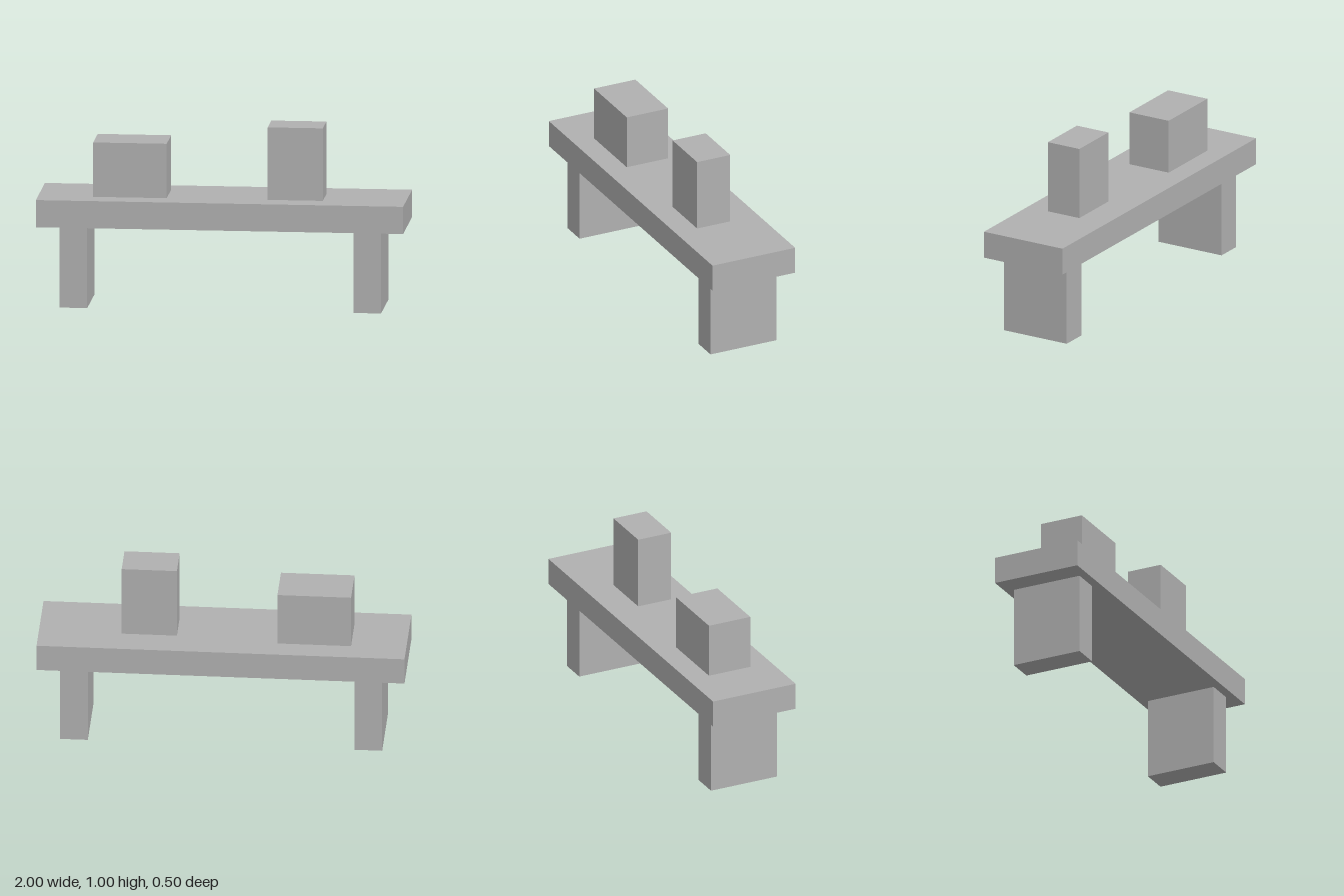
import * as THREE from 'three';

export function createModel() {
  const group = new THREE.Group();
  const grey = new THREE.MeshStandardMaterial({ color: 0xb0b0b0 });
  grey.name = 'plain grey';

  // Box resting with its underside at height y
  function block(name, width, height, depth, x, y, z = 0) {
    const mesh = new THREE.Mesh(new THREE.BoxGeometry(width, height, depth), grey);
    mesh.name = name;
    mesh.position.set(x, y + height / 2, z);
    group.add(mesh);
  }

  // Bench: slab on two panel legs
  block('benchTop', 2, 0.15, 0.5, 0, 0.45);
  block('leftLeg', 0.15, 0.45, 0.4, 0.8, 0);
  block('rightLeg', 0.15, 0.45, 0.4, -0.8, 0);

  // Blocks standing on the bench
  block('wideBlock', 0.4, 0.3, 0.25, -0.5, 0.6);
  block('tallBlock', 0.3, 0.4, 0.2, 0.4, 0.6, 0.02);

  return group;
}
